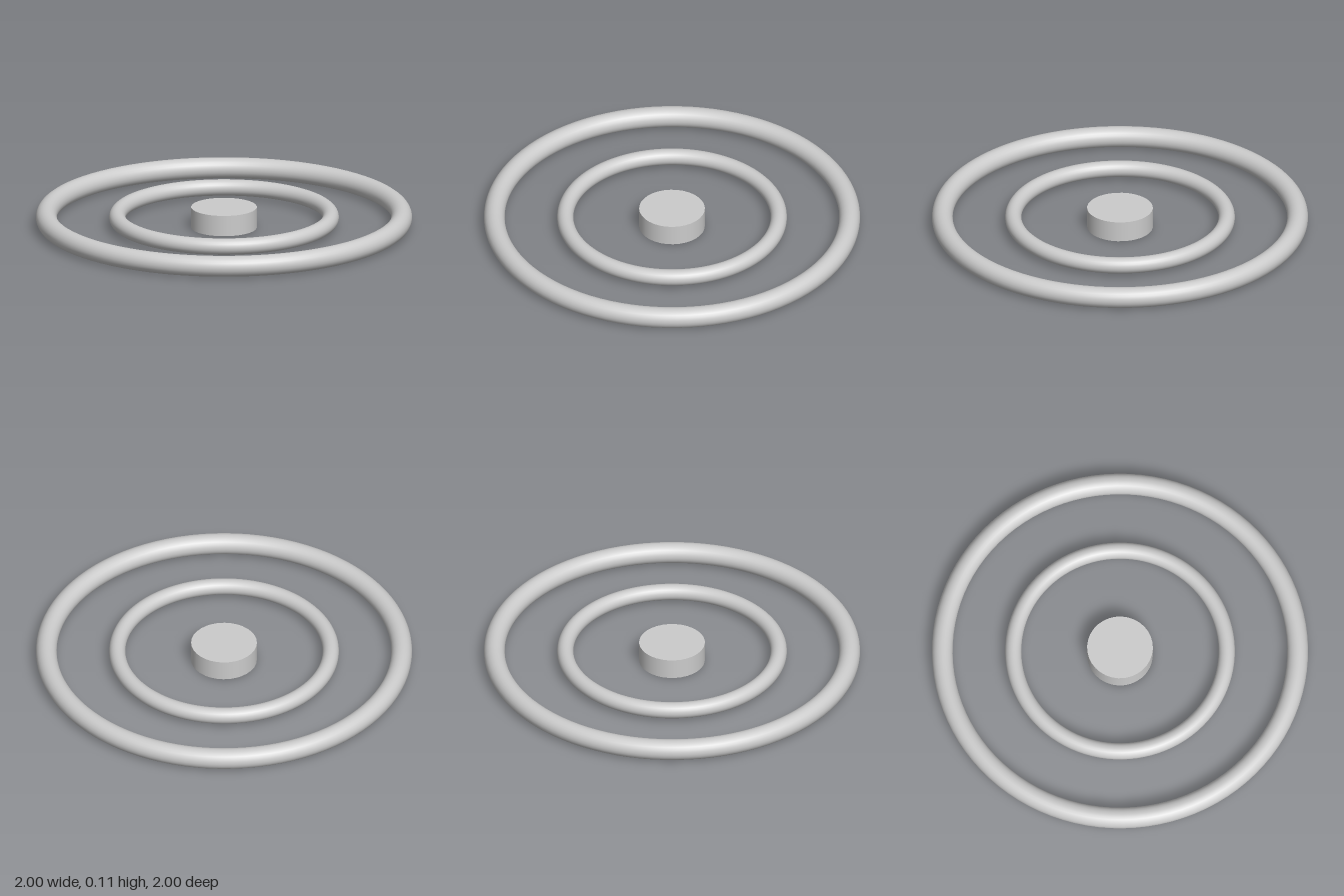
import * as THREE from 'three';

const MID_Y = 0.056; // shared centre height of all parts

export function createModel() {
  const group = new THREE.Group();
  const material = new THREE.MeshStandardMaterial({ color: 0xcccccc });

  const add = (name, geometry) => {
    const mesh = new THREE.Mesh(geometry, material);
    mesh.name = name;
    mesh.position.y = MID_Y;
    group.add(mesh);
  };

  // Flat-lying ring given its outer and inner radius
  const ring = (outer, inner) =>
    new THREE.TorusGeometry((outer + inner) / 2, (outer - inner) / 2, 24, 96).rotateX(-Math.PI / 2);

  // Two concentric rings around a central disc
  add('outerRing', ring(1, 0.889));
  add('innerRing', ring(0.611, 0.524));
  add('centreDisc', new THREE.CylinderGeometry(0.175, 0.175, 0.112, 32));

  return group;
}
